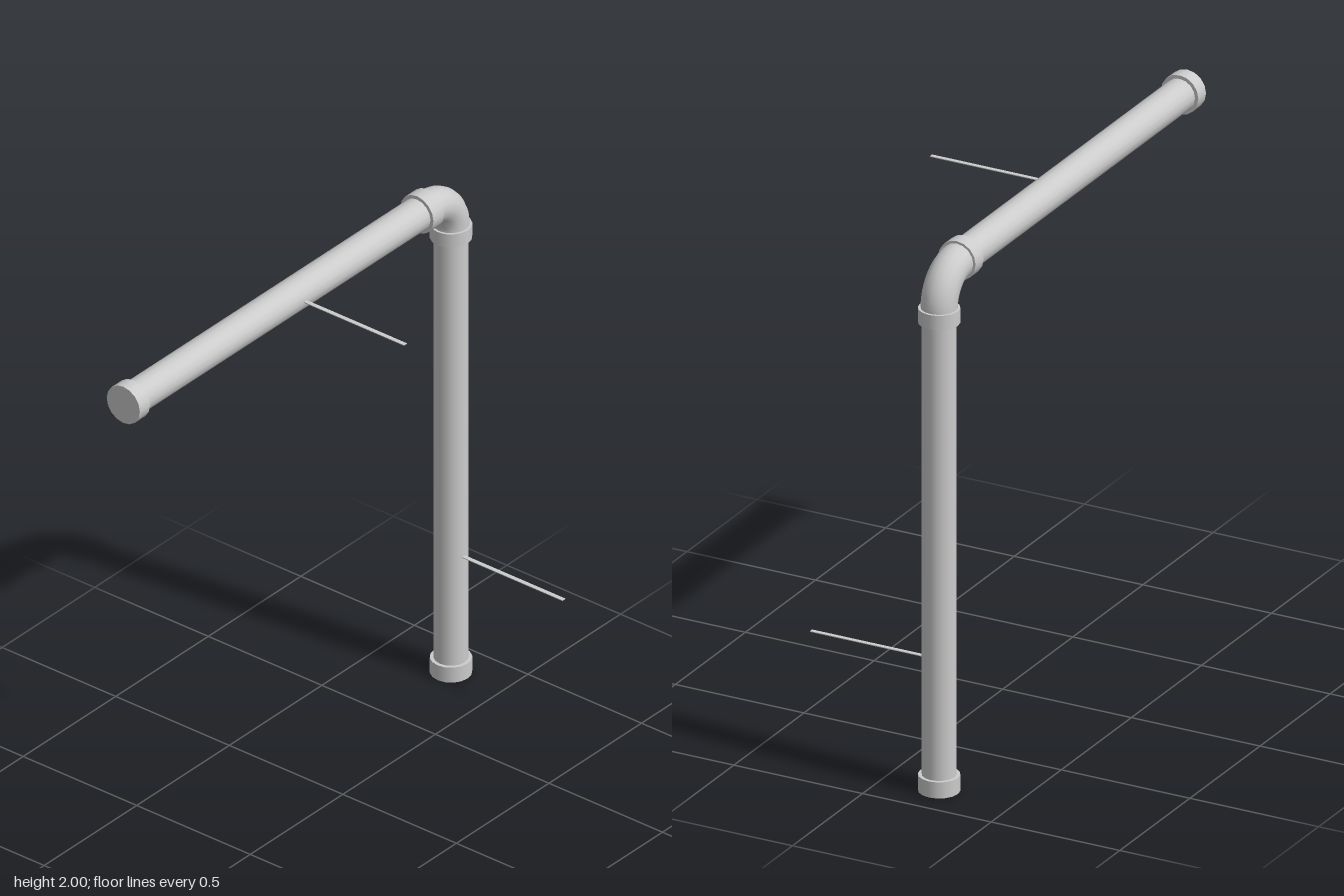
import * as THREE from 'three';

const SIDES = 16;
const PIPE_R = 0.06, COLLAR_R = 0.073, ELBOW_R = 0.064;
const AX = 0.848, AY = 1.927, AZ = -0.215; // pipe axes
const BEND = 0.127;                        // elbow bend radius

export function createModel() {
  const model = new THREE.Group();
  const grey = new THREE.MeshStandardMaterial({ color: 0xcccccc });

  const add = (name, geometry, x, y, z) => {
    const mesh = new THREE.Mesh(geometry, grey);
    mesh.name = name;
    mesh.position.set(x, y, z);
    model.add(mesh);
    return mesh;
  };

  // Cylinders running along y or x between two coordinates
  const upright = (name, r, y0, y1) =>
    add(name, new THREE.CylinderGeometry(r, r, y1 - y0, SIDES), AX, (y0 + y1) / 2, AZ);
  const level = (name, r, x0, x1) => {
    const geometry = new THREE.CylinderGeometry(r, r, x1 - x0, SIDES).rotateZ(Math.PI / 2);
    return add(name, geometry, (x0 + x1) / 2, AY, AZ);
  };

  // Downpipe with its end collars
  upright('verticalPipe', PIPE_R, 0.01, AY - BEND);
  upright('bottomCollar', COLLAR_R, 0, 0.06);
  upright('elbowLowerCollar', COLLAR_R, 1.748, 1.802);

  // Horizontal pipe with its end collars
  level('horizontalPipe', PIPE_R, -0.91, AX - BEND);
  level('endCollar', COLLAR_R, -0.922, -0.867);
  level('elbowUpperCollar', COLLAR_R, 0.664, 0.722);

  // Quarter-turn elbow joining the pipes
  add('elbow', new THREE.TorusGeometry(BEND, ELBOW_R, SIDES, 16, Math.PI / 2),
    AX - BEND, AY - BEND, AZ);

  // Thin flat mounting strips projecting forward from the pipe axes
  const strip = new THREE.BoxGeometry(0.016, 0.003, 0.5);
  add('upperStrip', strip, -0.012, AY, AZ + 0.25);
  add('lowerStrip', strip, AX - 0.004, 0.487, AZ + 0.25);

  return model;
}
